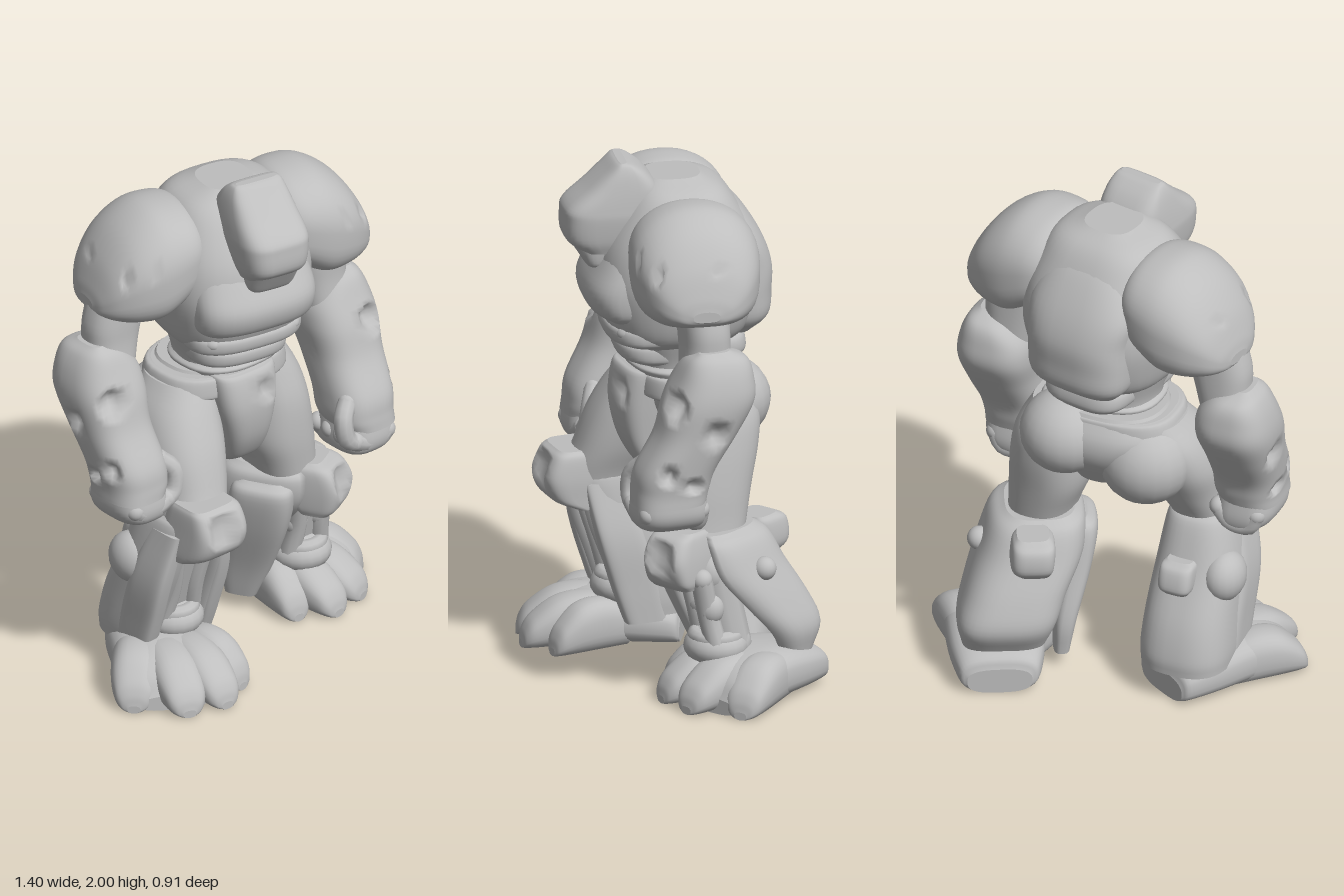
import * as THREE from 'three';

const X = new THREE.Vector3(1, 0, 0), Y = new THREE.Vector3(0, 1, 0), Z = new THREE.Vector3(0, 0, 1);
const grey = new THREE.MeshStandardMaterial({ color: 0xbebebe });
grey.name = 'armourGrey';

// the left leg and both feet point outward by this angle
const SPLAY = 0.5;
const side = new THREE.Vector3(Math.cos(SPLAY), 0, -Math.sin(SPLAY)), ahead = new THREE.Vector3(Math.sin(SPLAY), 0, Math.cos(SPLAY));

// closed unit outline with squareness n, and its own squareness for the lower half
function round(n = 2.4, count = 36, low = n) {
  return Array.from({ length: count }, (_, i) => {
    const t = (i / count) * Math.PI * 2, e = 2 / (Math.sin(t) < 0 ? low : n);
    return [Math.cos(t), Math.sin(t)].map((v) => Math.sign(v) * Math.abs(v) ** e);
  });
}

// C-shaped unit outline, open towards the front
function cuff(gap, inner = 0.78, n = 3, m = 30) {
  const f = (v) => Math.sign(v) * Math.abs(v) ** (2 / n);
  const outer = Array.from({ length: m }, (_, i) => {
    const t = Math.PI / 2 + gap + (i / (m - 1)) * 2 * (Math.PI - gap);
    return [f(Math.cos(t)), f(Math.sin(t))];
  });
  return outer.concat(outer.map(([a, b]) => [a * inner, b * inner]).reverse());
}

// smooth skin over sections [x, y, z, halfU, halfV]; s = -1 mirrors; dents are [x, y, z, radius]
function loft(name, secs, { U = X, V = Z, ring = round(), s = 1, dents = [], sub = 5 } = {}) {
  const mid = new THREE.CatmullRomCurve3(secs.map((c) => new THREE.Vector3(c[0], c[1], c[2])), false, 'catmullrom', 0.5);
  const size = new THREE.CatmullRomCurve3(secs.map((c) => new THREE.Vector3(c[3], c[4], 0)), false, 'catmullrom', 0.5);
  const rows = (secs.length - 1) * sub, n = ring.length, pos = [], idx = [];
  const addRow = (t) => {
    const c = mid.getPoint(t), r = size.getPoint(t);
    for (const [u, v] of ring) {
      const p = c.clone().addScaledVector(U, u * Math.max(r.x, 0.003)).addScaledVector(V, v * Math.max(r.y, 0.003));
      for (const d of dents) {
        const k = 1 - p.distanceTo(new THREE.Vector3(d[0], d[1], d[2])) / d[3];
        if (k > 0) p.lerp(c, 0.35 * Math.sqrt(k));
      }
      pos.push(p.x * s, p.y, p.z);
    }
  };
  for (let i = 0; i <= rows; i++) addRow(i / rows);
  addRow(0);
  addRow(1);
  const W = U.clone().cross(V), a = mid.getPoint(0), b = mid.getPoint(1);
  const flip = (W.dot(b.sub(a)) < 0) !== (s < 0);
  const tri = (p, q, r) => (flip ? idx.push(p, r, q) : idx.push(p, q, r));
  for (let i = 0; i < rows; i++) for (let j = 0; j < n; j++) {
    const p = i * n + j, q = i * n + ((j + 1) % n);
    tri(p, q, p + n);
    tri(q, q + n, p + n);
  }
  const c0 = (rows + 1) * n, c1 = c0 + n;
  for (let j = 0; j < n / 2 - 1; j++) {
    const k = n - 1 - j;
    tri(c0 + j, c0 + k, c0 + j + 1);
    tri(c0 + j + 1, c0 + k, c0 + k - 1);
    tri(c1 + j, c1 + j + 1, c1 + k);
    tri(c1 + j + 1, c1 + k - 1, c1 + k);
  }
  const g = new THREE.BufferGeometry();
  g.setAttribute('position', new THREE.Float32BufferAttribute(pos, 3));
  g.setIndex(idx);
  g.computeVertexNormals();
  const mesh = new THREE.Mesh(g, grey);
  mesh.name = name;
  return mesh;
}

function blob(name, x, y, z, rx, ry, rz) {
  const m = new THREE.Mesh(new THREE.SphereGeometry(1, 20, 14).scale(rx, ry, rz), grey);
  m.name = name;
  m.position.set(x, y, z);
  return m;
}

function rod(name, points, r) {
  const c = new THREE.CatmullRomCurve3(points.map((p) => new THREE.Vector3(...p)));
  const g = new THREE.Group();
  g.name = name;
  g.add(new THREE.Mesh(new THREE.TubeGeometry(c, 10, r, 10), grey));
  for (const p of [points[0], points[points.length - 1]]) g.add(blob(name + 'End', ...p, r, r, r));
  return g;
}

function upperBody() {
  const g = new THREE.Group();
  g.name = 'upperBody';
  g.rotation.y = -0.19;
  g.add(loft('torso', [[0, 1.29, 0.02, 0.2, 0.19], [0, 1.34, 0.01, 0.25, 0.25], [0, 1.43, 0.01, 0.28, 0.29], [0, 1.55, 0.01, 0.3, 0.31],
    [0, 1.68, 0.01, 0.29, 0.29], [0, 1.8, 0.01, 0.25, 0.23], [0, 1.88, 0.01, 0.2, 0.17], [0, 1.925, 0.02, 0.1, 0.1]], { ring: round(2.7) }));
  g.add(loft('backPlate', [[-0.02, 1.32, -0.2, 0.15, 0.07], [-0.02, 1.38, -0.21, 0.2, 0.125], [-0.02, 1.47, -0.21, 0.21, 0.135],
    [-0.02, 1.57, -0.205, 0.21, 0.14], [-0.02, 1.68, -0.17, 0.22, 0.135], [-0.01, 1.8, -0.1, 0.18, 0.125], [0, 1.88, -0.05, 0.12, 0.09]], { ring: round(2.6) }));
  g.add(loft('chestPlate', [[0, 1.4, 0.19, 0.2, 0.1], [0, 1.44, 0.21, 0.235, 0.135], [0, 1.52, 0.22, 0.245, 0.145],
    [0, 1.61, 0.19, 0.235, 0.135], [0, 1.72, 0.16, 0.2, 0.1]], { ring: round(2.7) }));
  g.add(loft('waist', [[0, 1.13, 0, 0.19, 0.15], [0, 1.22, 0.01, 0.19, 0.16], [0, 1.32, 0.02, 0.22, 0.2]]));
  g.add(loft('waistPad', [[0, 1.22, -0.1, 0.14, 0.12], [0, 1.25, -0.1, 0.17, 0.145], [0, 1.3, -0.1, 0.17, 0.14], [0, 1.33, -0.1, 0.14, 0.12]], { ring: round(3) }));
  for (const [y, a, f] of [[1.265, 0.19, 0.24], [1.345, 0.23, 0.285]])
    g.add(loft('bellyBand', [[0, y - 0.04, f - 0.17, a * 0.9, 0.13], [0, y - 0.02, f - 0.16, a, 0.155], [0, y + 0.025, f - 0.16, a, 0.16], [0, y + 0.045, f - 0.17, a * 0.9, 0.14]], { ring: round(2.7) }));
  // head: faceplate over a narrower jaw
  g.add(loft('helmet', [[0.02, 1.66, 0.25, 0.112, 0.125], [0.02, 1.71, 0.26, 0.128, 0.172], [0.02, 1.79, 0.26, 0.138, 0.178], [0.02, 1.835, 0.255, 0.136, 0.17],
    [0.02, 1.9, 0.22, 0.127, 0.13], [0.02, 1.955, 0.21, 0.115, 0.08], [0.02, 1.99, 0.215, 0.1, 0.038], [0.02, 2, 0.22, 0.085, 0.015]], { ring: round(3.7) }));
  g.add(loft('jaw', [[0.02, 1.6, 0.31, 0.08, 0.04], [0.02, 1.62, 0.29, 0.096, 0.075], [0.02, 1.7, 0.27, 0.108, 0.145]], { ring: round(3.7) }));
  g.add(loft('neck', [[0.01, 1.6, 0.1, 0.17, 0.16], [0.01, 1.72, 0.12, 0.15, 0.14], [0.01, 1.87, 0.12, 0.11, 0.09]]));
  for (const s of [1, -1]) {
    g.add(loft('shoulderPad', [[0.175, 1.7, 0, 0.17, 0.13], [0.19, 1.715, 0, 0.205, 0.16], [0.25, 1.71, 0, 0.232, 0.183], [0.35, 1.68, 0, 0.24, 0.208],
      [0.45, 1.65, 0, 0.218, 0.175], [0.525, 1.61, 0, 0.17, 0.115], [0.565, 1.57, 0, 0.11, 0.055], [0.578, 1.55, 0, 0.05, 0.02]],
    { U: Z, V: Y, ring: round(2.1, 44, 3.2), s, sub: 6, dents: [[0.47, 1.68, 0.15, 0.045], [0.4, 1.72, 0.19, 0.035], [0.5, 1.7, -0.05, 0.04]] }));
    g.add(blob('ribKnob', 0.16 * s, 1.36, 0.2, 0.045, 0.035, 0.06));
  }
  return g;
}

function arm(s) {
  const g = new THREE.Group();
  g.name = s > 0 ? 'leftArm' : 'rightArm';
  if (s < 0) g.position.set(-0.07, 0.008, -0.125);
  g.add(loft('upperArm', [[0.37, 1.64, 0.06, 0.1, 0.09], [0.405, 1.47, 0.06, 0.115, 0.09], [0.42, 1.36, 0.06, 0.105, 0.09], [0.45, 1.2, 0.07, 0.1, 0.1]], { s }));
  g.add(loft('forearmArmour', [[0.51, 1.395, 0.06, 0.03, 0.06], [0.49, 1.36, 0.045, 0.09, 0.115], [0.475, 1.29, 0.05, 0.135, 0.145], [0.475, 1.2, 0.07, 0.148, 0.165],
    [0.475, 1.08, 0.12, 0.135, 0.15], [0.465, 0.95, 0.195, 0.13, 0.145], [0.46, 0.87, 0.215, 0.125, 0.14], [0.47, 0.82, 0.225, 0.115, 0.135]],
  { s, ring: round(2.7, 44), sub: 6, dents: [[0.54, 1.2, 0.22, 0.055], [0.62, 1.1, 0.08, 0.05], [0.59, 0.95, 0.27, 0.035], [0.59, 0.9, 0.16, 0.03]] }));
  g.add(loft('fist', [[0.465, 0.85, 0.22, 0.11, 0.13], [0.46, 0.78, 0.22, 0.115, 0.14], [0.45, 0.735, 0.215, 0.1, 0.13], [0.44, 0.71, 0.2, 0.06, 0.1]], { s, ring: round(3) }));
  for (let i = 0; i < 4; i++) {
    const z = 0.12 + i * 0.067, y = i * 0.012;
    g.add(rod('finger', [[0.52 * s, 0.79, z], [0.49 * s, 0.735 + y, z], [0.42 * s, 0.735 + y, z], [0.37 * s, 0.79, z]], 0.037));
  }
  g.add(rod('thumb', [[0.37 * s, 0.94, 0.28], [0.325 * s, 0.89, 0.31], [0.335 * s, 0.81, 0.32], [0.39 * s, 0.78, 0.32]], 0.036));
  return g;
}

// foot spreading outward from its heel, with four big toes
function foot(s, x, z) {
  const g = new THREE.Group();
  g.name = s > 0 ? 'leftFoot' : 'rightFoot';
  g.position.set(x, 0, z);
  const sole = [[-0.01, 0.05, 0.12], [0.015, 0.072, 0.15], [0.13, 0.09, 0.175], [0.27, 0.1, 0.185], [0.41, 0.09, 0.185], [0.49, 0.065, 0.17], [0.53, 0.03, 0.13]];
  g.add(loft('sole', sole.map(([d, h, w]) => [-0.02 + ahead.x * d, h, 0.01 + ahead.z * d, w, h]), { U: side, V: Y, ring: round(2.8), s }));
  const tips = [[0.37, 0.4, 0.08], [0.235, 0.56, 0.084], [0.085, 0.6, 0.08], [-0.05, 0.53, 0.068]];
  tips.forEach(([tx, tz, w], i) => {
    const rx = 0.15 - i * 0.055, rz = 0.16 + i * 0.025;
    const at = (k, h, a) => [rx + (tx - rx) * k, h, rz + (tz - rz) * k, a, h];
    const d = new THREE.Vector3(tx - rx, 0, tz - rz).normalize();
    g.add(loft('toe', [at(0, 0.085, w), at(0.35, 0.098, w * 1.1), at(0.65, 0.09, w * 1.1), at(0.88, 0.06, w * 0.92), at(0.97, 0.036, w * 0.65), at(1, 0.015, w * 0.3)],
      { U: new THREE.Vector3(d.z, 0, -d.x), V: Y, ring: round(2.5, 28), s }));
  });
  return g;
}

// shin machinery between knee and ankle
function shinWorks(top, ankle) {
  const g = new THREE.Group();
  g.name = 'shinWorks';
  for (const [dx, dz, r] of [[-0.07, 0.02, 0.04], [0.07, 0.02, 0.04], [0, -0.05, 0.085]])
    g.add(rod('piston', [[top[0] + dx, top[1], top[2] + dz], [(top[0] + ankle[0]) / 2 + dx * 0.8, (top[1] + ankle[1]) / 2, (top[2] + ankle[2]) / 2 + dz],
      [ankle[0] + dx, ankle[1], ankle[2] + dz]], r));
  const ring = new THREE.Mesh(new THREE.TorusGeometry(0.075, 0.03, 10, 24).rotateX(Math.PI / 2), grey);
  ring.name = 'ankleRing';
  ring.position.set(ankle[0], ankle[1] + 0.04, ankle[2]);
  g.add(ring, blob('ankle', ...ankle, 0.12, 0.08, 0.12));
  for (const dx of [-0.06, 0.05]) g.add(blob('jointKnob', ankle[0] + dx, ankle[1] + 0.16, ankle[2] + 0.04, 0.05, 0.06, 0.05));
  return g;
}

function legs() {
  const g = new THREE.Group();
  g.name = 'legs';
  const turned = { U: side, V: ahead };
  g.add(loft('leftThigh', [[0.16, 1.16, -0.05, 0.11, 0.14], [0.2, 1.05, -0.05, 0.13, 0.18], [0.22, 0.93, -0.03, 0.14, 0.19], [0.235, 0.78, -0.01, 0.145, 0.175],
    [0.265, 0.65, 0, 0.125, 0.155], [0.3, 0.5, 0.01, 0.11, 0.13]]));
  g.add(loft('rightThigh', [[-0.18, 1.15, -0.02, 0.12, 0.14], [-0.235, 1.05, 0.01, 0.14, 0.17], [-0.265, 0.93, 0.06, 0.15, 0.18], [-0.285, 0.8, 0.12, 0.135, 0.165],
    [-0.315, 0.68, 0.17, 0.12, 0.15], [-0.32, 0.55, 0.17, 0.1, 0.12]]));
  // left leg, stepping back and turned outward
  g.add(loft('leftShinArmour', [[0.28, 0.64, -0.02, 0.13, 0.15], [0.285, 0.6, -0.03, 0.175, 0.19], [0.295, 0.49, -0.07, 0.195, 0.205], [0.31, 0.36, -0.165, 0.19, 0.185],
    [0.315, 0.25, -0.235, 0.185, 0.15], [0.32, 0.15, -0.25, 0.155, 0.09]], { ...turned, ring: cuff(0.6) }));
  g.add(loft('leftKnee', [[0.33, 0.655, 0.09, 0.07, 0.08], [0.335, 0.63, 0.11, 0.09, 0.11], [0.35, 0.56, 0.13, 0.1, 0.12], [0.36, 0.48, 0.14, 0.1, 0.09],
    [0.36, 0.445, 0.14, 0.09, 0.06]], { ...turned, ring: round(4.5), dents: [[0.4, 0.57, 0.24, 0.07]] }));
  g.add(loft('leftInnerPanel', [[0.18, 0.59, 0.04, 0.06, 0.09], [0.16, 0.55, 0.05, 0.075, 0.12], [0.155, 0.4, 0.02, 0.06, 0.12], [0.165, 0.2, -0.05, 0.045, 0.1], [0.165, 0.06, -0.08, 0.03, 0.06]], { ...turned, ring: round(3) }));
  g.add(loft('leftCalfBox', [[0.21, 0.63, -0.23, 0.06, 0.06], [0.2, 0.6, -0.25, 0.08, 0.085], [0.2, 0.52, -0.26, 0.08, 0.08], [0.2, 0.47, -0.24, 0.06, 0.05]], { ...turned, ring: round(3.5) }));
  g.add(blob('leftSideKnob', 0.46, 0.5, -0.16, 0.045, 0.045, 0.045));
  g.add(shinWorks([0.37, 0.48, 0.06], [0.38, 0.2, 0.0]));
  g.add(foot(1, 0.3, -0.38));
  // right leg, stepping forward
  g.add(loft('rightShinArmour', [[-0.325, 0.71, 0.15, 0.11, 0.13], [-0.325, 0.67, 0.15, 0.135, 0.165], [-0.33, 0.5, 0.1, 0.16, 0.18], [-0.33, 0.33, 0.03, 0.17, 0.19],
    [-0.33, 0.2, -0.01, 0.175, 0.185], [-0.33, 0.13, -0.02, 0.17, 0.175]], { ring: cuff(0.55, 0.78, 2.6) }));
  g.add(loft('rightKnee', [[-0.33, 0.785, 0.27, 0.095, 0.09], [-0.325, 0.76, 0.28, 0.11, 0.11], [-0.325, 0.68, 0.28, 0.118, 0.14], [-0.33, 0.6, 0.26, 0.12, 0.13],
    [-0.33, 0.56, 0.23, 0.12, 0.08]], { ring: round(4.5), dents: [[-0.34, 0.71, 0.42, 0.07]] }));
  for (const x of [-0.47, -0.19])
    g.add(loft('rightSidePanel', [[x * 0.7 - 0.1, 0.66, 0.2, 0.035, 0.08], [x, 0.45, 0.15, 0.04, 0.09], [x, 0.25, 0.09, 0.04, 0.09], [x, 0.11, 0.05, 0.035, 0.08]], { ring: round(4) }));
  g.add(loft('rightCalfBox', [[-0.31, 0.56, -0.05, 0.05, 0.04], [-0.31, 0.54, -0.07, 0.065, 0.06], [-0.31, 0.47, -0.09, 0.065, 0.06], [-0.31, 0.44, -0.09, 0.05, 0.04]], { ring: round(3.5) }));
  g.add(blob('rightSideKnob', -0.45, 0.48, 0.02, 0.08, 0.1, 0.1));
  g.add(shinWorks([-0.33, 0.53, 0.18], [-0.32, 0.22, 0.09]));
  g.add(foot(-1, -0.29, -0.13));
  return g;
}

function pelvis() {
  const g = new THREE.Group();
  g.name = 'pelvis';
  g.add(loft('hips', [[-0.02, 1.19, -0.03, 0.21, 0.17], [-0.02, 1.1, -0.05, 0.26, 0.2], [-0.01, 1, -0.06, 0.2, 0.18], [0, 0.87, -0.04, 0.1, 0.11]]));
  g.add(loft('belt', [[-0.02, 1.095, -0.02, 0.27, 0.19], [-0.02, 1.11, -0.02, 0.28, 0.2], [-0.02, 1.17, -0.02, 0.265, 0.195], [-0.02, 1.18, -0.02, 0.24, 0.18]], { ring: round(2.6) }));
  g.add(loft('waistBand', [[0, 1.18, 0.01, 0.2, 0.17], [0, 1.2, 0.01, 0.205, 0.18], [0, 1.215, 0.01, 0.19, 0.165]]));
  g.add(loft('groinPlate', [[-0.03, 1.19, 0.12, 0.12, 0.07], [-0.03, 1.17, 0.13, 0.135, 0.09], [-0.03, 1.05, 0.14, 0.125, 0.1], [-0.02, 0.92, 0.13, 0.1, 0.09],
    [-0.01, 0.82, 0.1, 0.08, 0.07], [-0.01, 0.785, 0.08, 0.06, 0.045]], { ring: round(3.2), dents: [[0.03, 1.1, 0.23, 0.04]] }));
  g.add(blob('leftButtock', 0.12, 1.06, -0.14, 0.17, 0.16, 0.17), blob('rightButtock', -0.18, 0.99, -0.08, 0.18, 0.18, 0.18));
  return g;
}

export function createModel() {
  const model = new THREE.Group();
  model.name = 'armouredFigure';
  model.add(upperBody(), arm(1), arm(-1), pelvis(), legs());
  return model;
}
